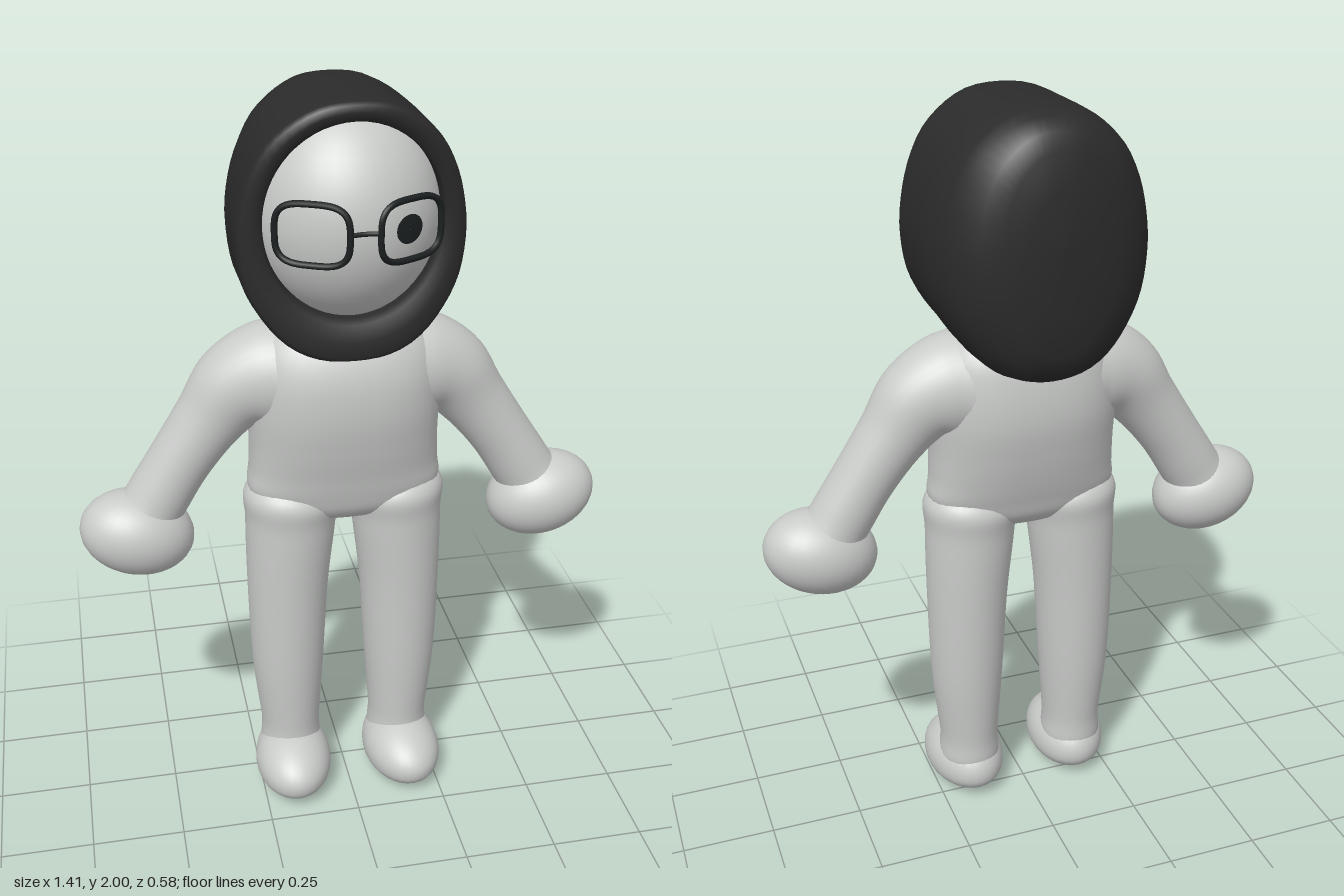
import * as THREE from 'three';

const skin = new THREE.MeshStandardMaterial({ color: 0xc9cbc9 });
skin.name = 'pale grey';
const cloth = new THREE.MeshStandardMaterial({ color: 0x2b2b2b });
cloth.name = 'charcoal cloth';
const dark = new THREE.MeshStandardMaterial({ color: 0x1c2020 });
dark.name = 'black';

function mesh(name, geometry, material) {
  const m = new THREE.Mesh(geometry, material);
  m.name = name;
  return m;
}

// Skin a row of closed rings, each an array of Vector3
function loft(rings) {
  const n = rings[0].length, index = [];
  for (let i = 0; i < rings.length - 1; i++) {
    for (let j = 0; j < n; j++) {
      const a = i * n + j, b = i * n + (j + 1) % n;
      index.push(a, a + n, b, b, a + n, b + n);
    }
  }
  const g = new THREE.BufferGeometry().setFromPoints(rings.flat());
  g.setIndex(index);
  g.computeVertexNormals();
  return g;
}

// Smooth limb through stations [x, y, z, half width, half depth]; power > 2 squares the section
function limb(stations, side = 1, power = 2, steps = 48, n = 36) {
  const path = new THREE.CatmullRomCurve3(stations.map(s => new THREE.Vector3(s[0] * side, s[1], s[2])), false, 'catmullrom');
  const size = new THREE.CatmullRomCurve3(stations.map(s => new THREE.Vector3(s[3], s[4], 0)), false, 'catmullrom');
  const round = v => Math.sign(v) * Math.abs(v) ** (2 / power);
  const rings = [];
  for (let i = 0; i <= steps; i++) {
    const c = path.getPoint(i / steps), t = path.getTangent(i / steps), r = size.getPoint(i / steps);
    const len = Math.hypot(t.x, t.y), ring = [];
    for (let j = 0; j < n; j++) {
      const a = j / n * Math.PI * 2;
      const w = Math.max(r.x, 0) * round(Math.cos(a)), d = Math.max(r.y, 0) * round(Math.sin(a));
      ring.push(new THREE.Vector3(c.x + w * t.y / len, c.y - w * t.x / len, c.z + d));
    }
    rings.push(ring);
  }
  return loft(rings);
}

// Face ellipsoid
const FACE = { y: 1.71, z: 0.03, rx: 0.235, ry: 0.27, rz: 0.235 };
const faceZ = (x, y) => FACE.z + FACE.rz * Math.sqrt(1 - (x / FACE.rx) ** 2 - ((y - FACE.y) / FACE.ry) ** 2);

// Hood: oval rim around the face opening, straight sides, rounded back
function hoodGeometry() {
  const half = [[0, 1.355], [0.1, 1.37], [0.165, 1.405], [0.22, 1.465], [0.265, 1.55], [0.282, 1.66],
    [0.275, 1.74], [0.25, 1.83], [0.2, 1.915], [0.1, 1.985], [0, 2]];
  const all = [...half, ...half.slice(1, -1).reverse().map(([x, y]) => [-x, y])];
  const curve = new THREE.CatmullRomCurve3(all.map(([x, y]) => new THREE.Vector3(x, y, 0)), true);
  const outline = curve.getSpacedPoints(64).slice(0, 64);
  const cy = 1.7;
  const rim = y => 0.153 + 0.042 * ((y - 1.66) / 0.33) ** 2;
  const hole = outline.map(p => {
    const a = Math.atan2((p.y - cy) / 0.33, p.x / 0.28);
    return new THREE.Vector3(0.218 * Math.cos(a), 1.71 + 0.242 * Math.sin(a), 0);
  });
  const rings = [hole.map(p => new THREE.Vector3(p.x, p.y, 0))];
  // Front rim: [blend from opening to outline, depth offset]
  for (const [k, dz] of [[0, -0.012], [0.12, 0], [0.5, 0.004], [0.85, -0.004], [0.97, -0.02], [1, -0.05]]) {
    rings.push(outline.map((p, i) => {
      const q = hole[i].clone().lerp(p, k);
      q.z = rim(q.y) + dz;
      return q;
    }));
  }
  // Sides and back: [width, upper height, lower height, z]
  const back = [[1, 1, 1.01, 0.03], [1, 1, 1.04, -0.05], [0.98, 1, 1.06, -0.11], [0.93, 0.985, 1.07, -0.165],
    [0.86, 0.95, 1.04, -0.21], [0.7, 0.86, 0.95, -0.25], [0.52, 0.72, 0.8, -0.27], [0.3, 0.42, 0.5, -0.284], [0, 0, 0, -0.29]];
  for (const [sx, up, down, z] of back) {
    rings.push(outline.map(p => new THREE.Vector3(p.x * sx, cy + (p.y - cy) * (p.y > cy ? up : down), z)));
  }
  return loft(rings);
}

export function createModel() {
  const model = new THREE.Group();
  model.name = 'hoodedFigure';

  // Torso, from crotch to neck
  model.add(mesh('torso', limb([
    [0, 0.862, 0.023, 0, 0], [0, 0.875, 0.023, 0.12, 0.07], [0, 0.91, 0.023, 0.225, 0.105],
    [0, 0.96, 0.022, 0.258, 0.123], [0, 1.02, 0.019, 0.253, 0.14], [0, 1.1, 0.018, 0.25, 0.16],
    [0, 1.2, 0.017, 0.252, 0.177], [0, 1.3, 0.017, 0.248, 0.174], [0, 1.38, 0.012, 0.222, 0.15],
    [0, 1.435, 0.01, 0.15, 0.1], [0, 1.46, 0.01, 0, 0]], 1, 2.4), skin));

  for (const side of [1, -1]) {
    const name = side > 0 ? 'left' : 'right';

    // Leg
    model.add(mesh(name + 'Leg', limb([
      [0.158, 0.05, 0.03, 0, 0], [0.158, 0.1, 0.03, 0.08, 0.085], [0.158, 0.2, 0.028, 0.083, 0.092],
      [0.161, 0.4, 0.025, 0.1, 0.105], [0.157, 0.65, 0.023, 0.111, 0.112], [0.146, 0.85, 0.023, 0.122, 0.117],
      [0.14, 0.95, 0.023, 0.12, 0.113], [0.13, 1.03, 0.02, 0, 0]], side), skin));

    // Foot with a flattened sole and a lower toe
    const foot = new THREE.SphereGeometry(1, 32, 24);
    const p = foot.attributes.position;
    for (let i = 0; i < p.count; i++) {
      const y = p.getY(i), z = p.getZ(i);
      p.setXYZ(i, p.getX(i) * 0.108, y > 0 ? y * (0.1 - 0.012 * z) : -0.08 * Math.abs(y) ** 0.85, z * 0.16);
    }
    foot.computeVertexNormals();
    const footMesh = mesh(name + 'Foot', foot, skin);
    footMesh.position.set(0.16 * side, 0.082, 0.08);
    footMesh.rotation.y = 0.06 * side;
    model.add(footMesh);

    // Arm, flaring into the shoulder
    model.add(mesh(name + 'Arm', limb([
      [0.08, 1.27, 0.012, 0, 0], [0.13, 1.275, 0.012, 0.13, 0.13], [0.2, 1.275, 0.012, 0.14, 0.13],
      [0.28, 1.245, 0.01, 0.117, 0.11], [0.35, 1.165, 0.01, 0.093, 0.09], [0.43, 1.055, 0.012, 0.083, 0.083],
      [0.5, 0.945, 0.015, 0.084, 0.083], [0.54, 0.88, 0.02, 0.08, 0.08], [0.56, 0.85, 0.02, 0, 0]], side), skin));

    // Mitten hand
    const hand = mesh(name + 'Hand', new THREE.SphereGeometry(1, 32, 24), skin);
    hand.scale.set(0.152, 0.115, 0.118);
    hand.position.set(0.556 * side, 0.856, 0.023);
    hand.rotation.z = 0.27 * side;
    model.add(hand);

    // Spectacle rim, angled back around the face
    const pts = [];
    for (let i = 0; i < 32; i++) {
      const a = i / 32 * Math.PI * 2, c = Math.cos(a), s = Math.sin(a);
      const x = 0.117 + 0.081 * Math.sign(c) * Math.abs(c) ** 0.6;
      pts.push(new THREE.Vector3(x * side, 1.714 + 0.073 * Math.sign(s) * Math.abs(s) ** 0.6, 0.281 - (x - 0.036) * 0.5));
    }
    model.add(mesh(name + 'SpectacleRim',
      new THREE.TubeGeometry(new THREE.CatmullRomCurve3(pts, true), 96, 0.008, 8, true), dark));
  }

  // Spectacle bridge
  const bridge = new THREE.CatmullRomCurve3([[-0.037, 0.28], [0, 0.274], [0.037, 0.28]].map(([x, z]) => new THREE.Vector3(x, 1.72, z)));
  model.add(mesh('spectacleBridge', new THREE.TubeGeometry(bridge, 12, 0.006, 8), dark));

  // Face
  const face = mesh('face', new THREE.SphereGeometry(1, 40, 28), skin);
  face.scale.set(FACE.rx, FACE.ry, FACE.rz);
  face.position.set(0, FACE.y, FACE.z);
  model.add(face);

  // Single eye, wrapped onto the face
  const eye = new THREE.RingGeometry(0.0005, 0.035, 28, 4);
  eye.translate(0.113, 1.714, 0);
  const e = eye.attributes.position;
  for (let i = 0; i < e.count; i++) e.setZ(i, faceZ(e.getX(i), e.getY(i)) + 0.006);
  eye.computeVertexNormals();
  model.add(mesh('eye', eye, dark));

  model.add(mesh('hood', hoodGeometry(), cloth));
  return model;
}
